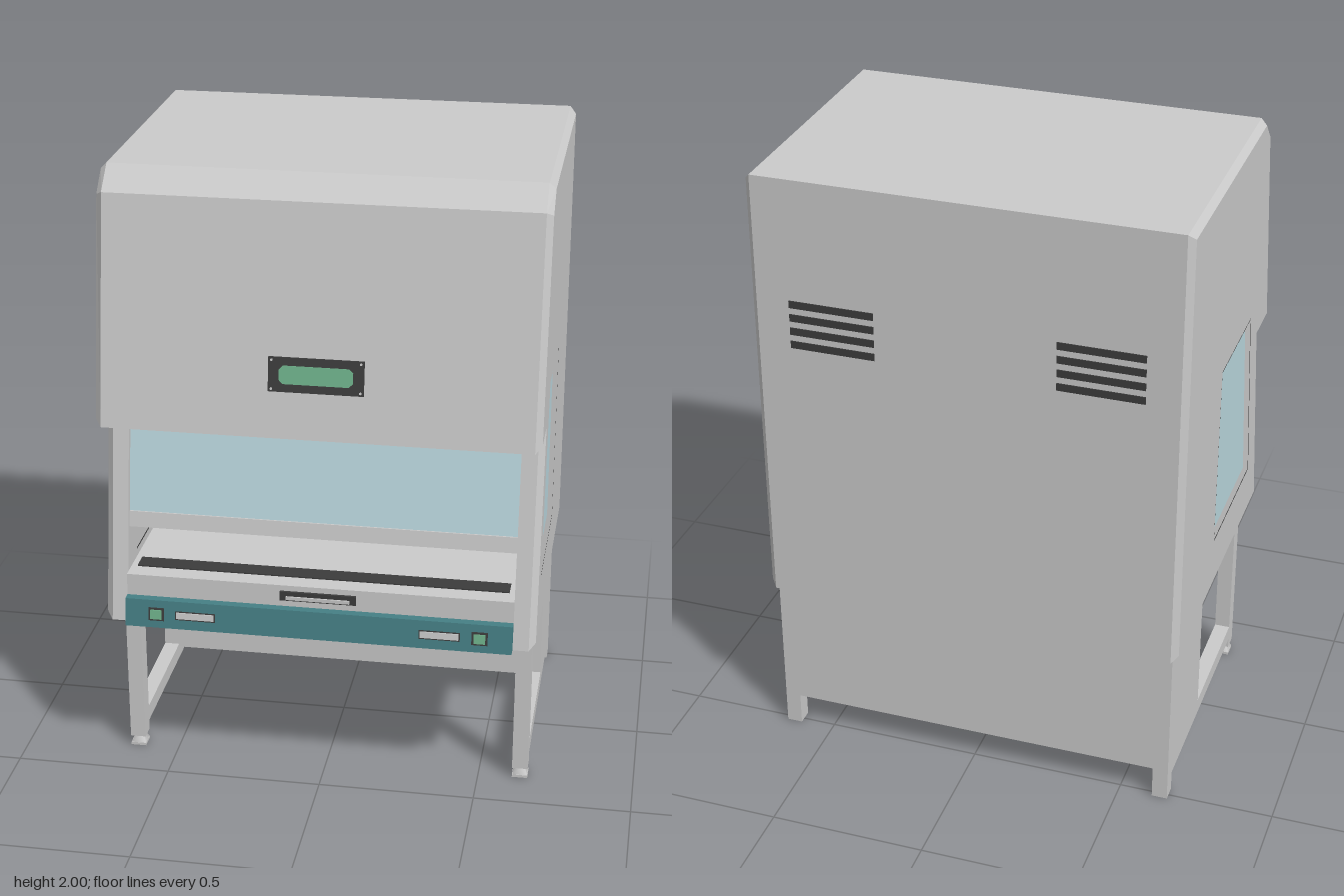
import * as THREE from 'three';

const mat = (name, color, side = THREE.FrontSide) => {
  const m = new THREE.MeshStandardMaterial({ color, side });
  m.name = name;
  return m;
};

export function createModel() {
  const M = {
    body: mat('bodyGrey', 0xcacaca),
    dark: mat('darkGrey', 0x3c3c3c),
    glass: mat('paleBlueGlass', 0xbad7de),
    teal: mat('teal', 0x457f85),
    green: mat('green', 0x6fb28b),
  };
  const model = new THREE.Group();
  model.name = 'safetyCabinet';

  const add = (name, geo, material, parent = model) => {
    const mesh = new THREE.Mesh(geo, material);
    mesh.name = name;
    parent.add(mesh);
    return mesh;
  };
  // box given by its limits
  const box = (name, x0, x1, y0, y1, z0, z1, material, parent) => {
    const g = new THREE.BoxGeometry(x1 - x0, y1 - y0, z1 - z0);
    g.translate((x0 + x1) / 2, (y0 + y1) / 2, (z0 + z1) / 2);
    return add(name, g, material, parent);
  };
  // side profile of [z, y] points pulled along x, with an optional hole
  const toVec = (pts) => pts.map(([z, y]) => new THREE.Vector2(-z, y));
  const slab = (name, pts, x0, x1, material, hole, parent) => {
    const shape = new THREE.Shape(toVec(pts));
    if (hole) shape.holes.push(new THREE.Path(toVec(hole)));
    const g = new THREE.ExtrudeGeometry(shape, { depth: x1 - x0, bevelEnabled: false });
    g.rotateY(Math.PI / 2).translate(x0, 0, 0);
    return add(name, g, material, parent);
  };
  // same, given by distances from the middle on side s
  const sideSlab = (name, s, pts, a, b, material, hole) =>
    slab(name, pts, s > 0 ? a : -b, s > 0 ? b : -a, material, hole);

  // side walls: full profile, inset outer face and a chamfer between them
  const outer = [[-0.545, 0.55], [0.51, 0.55], [0.395, 1.225], [0.545, 1.225],
    [0.425, 1.93], [0.35, 2], [-0.545, 2]];
  const inset = [[-0.523, 0.57], [0.488, 0.57], [0.372, 1.245], [0.522, 1.245],
    [0.405, 1.918], [0.343, 1.98], [-0.523, 1.98]];
  const windowEdge = [[-0.11, 0.73], [0.37, 0.73], [0.27, 1.35], [-0.11, 1.35]];
  const windowPane = [[-0.104, 0.736], [0.363, 0.736], [0.265, 1.344], [-0.104, 1.344]];

  const chamfer = (s) => {
    const pos = [], n = outer.length;
    const at = ([z, y], x) => [s * x, y, z];
    for (let i = 0; i < n; i++) {
      const j = (i + 1) % n;
      const a = at(outer[i], 0.66), b = at(outer[j], 0.66);
      const c = at(inset[j], 0.68), d = at(inset[i], 0.68);
      pos.push(...(s > 0 ? [a, c, b, a, d, c] : [a, b, c, a, c, d]).flat());
    }
    const g = new THREE.BufferGeometry();
    g.setAttribute('position', new THREE.Float32BufferAttribute(pos, 3));
    g.computeVertexNormals();
    return g;
  };
  const chamferMat = mat('bodyGreyEdge', 0xcacaca, THREE.DoubleSide);

  for (const s of [1, -1]) {
    sideSlab('sideWall', s, outer, 0.61, 0.66, M.body, windowEdge);
    sideSlab('sideFace', s, inset, 0.66, 0.68, M.body, windowEdge);
    add('sideChamfer', chamfer(s), chamferMat);
    sideSlab('windowGasket', s, windowEdge, 0.612, 0.679, M.dark, windowPane);
    sideSlab('sideWindow', s, windowPane, 0.655, 0.663, M.glass);
  }

  // hood, back wall and worktop between the side walls
  slab('hood', [[-0.545, 1.225], ...outer.slice(3)], -0.61, 0.61, M.body);
  box('backWall', -0.61, 0.61, 0.55, 1.225, -0.545, -0.5, M.body);
  box('backLiner', -0.61, 0.61, 0.71, 1.225, -0.5, -0.492, M.dark);
  slab('worktop', [[-0.5, 0.55], [0.505, 0.55], [0.5, 0.71], [-0.5, 0.71]], -0.61, 0.61, M.body);
  box('airGrille', -0.59, 0.59, 0.71, 0.714, 0.38, 0.44, M.dark);

  // front sash with its lower rail
  slab('frontGlass', [[0.432, 0.9], [0.377, 1.225], [0.369, 1.225], [0.424, 0.9]], -0.61, 0.61, M.glass);
  slab('sashRail', [[0.445, 0.85], [0.437, 0.9], [0.415, 0.9], [0.423, 0.85]], -0.61, 0.61, M.body);

  // tray pull on the sill
  box('trayPull', -0.12, 0.12, 0.662, 0.692, 0.495, 0.509, M.dark);
  box('trayPullGrip', -0.1, 0.1, 0.667, 0.678, 0.505, 0.514, M.body);

  // things standing on the worktop
  box('tealContainer', -0.29, -0.18, 0.71, 0.8, -0.05, 0.06, M.teal);
  box('lowInstrument', 0.04, 0.18, 0.71, 0.77, -0.05, 0.08, M.body);
  add('bottle', new THREE.CylinderGeometry(0.04, 0.04, 0.18, 8).translate(0.24, 0.8, 0), M.body);

  // control panel with buttons and grips
  slab('controlPanel', [[0.5, 0.55], [0.542, 0.55], [0.53, 0.64], [0.5, 0.64]], -0.61, 0.61, M.teal);
  for (const s of [1, -1]) {
    const controls = new THREE.Group();
    controls.name = 'panelControls';
    controls.position.set(s * 0.51, 0.595, 0.536);
    controls.rotation.x = -0.13;
    model.add(controls);
    box('buttonFrame', -0.025, 0.025, -0.021, 0.021, -0.004, 0.004, M.dark, controls);
    box('button', -0.018, 0.018, -0.015, 0.015, 0, 0.009, M.green, controls);
    const gx = -s * 0.125;
    box('gripPlate', gx - 0.064, gx + 0.064, -0.014, 0.014, -0.004, 0.003, M.dark, controls);
    box('grip', gx - 0.06, gx + 0.06, -0.009, 0.011, 0, 0.008, M.body, controls);
  }

  // display on the sloping hood front
  const display = new THREE.Group();
  display.name = 'display';
  display.position.set(0, 1.42, 0.512);
  display.rotation.x = -0.169;
  model.add(display);
  box('displayFrame', -0.145, 0.145, -0.053, 0.053, -0.008, 0.006, M.dark, display);
  const w = 0.112, h = 0.028, k = 0.012;
  const screen = new THREE.Shape([[-w, -h + k], [-w + k, -h], [w - k, -h], [w, -h + k],
    [w, h - k], [w - k, h], [-w + k, h], [-w, h - k]].map((p) => new THREE.Vector2(...p)));
  add('displayScreen', new THREE.ExtrudeGeometry(screen, { depth: 0.004, bevelEnabled: false })
    .translate(0, 0, 0.005), M.green, display);
  for (const sx of [1, -1]) for (const sy of [1, -1]) {
    add('displayScrew', new THREE.CylinderGeometry(0.004, 0.004, 0.004, 8).rotateX(Math.PI / 2)
      .translate(sx * 0.135, sy * 0.044, 0.007), M.body, display);
  }

  // lower cabinet and stand
  box('lowerCabinet', -0.66, 0.66, 0.11, 0.55, -0.52, -0.14, M.body);
  for (const s of [1, -1]) {
    const a = Math.min(s * 0.61, s * 0.66), b = Math.max(s * 0.61, s * 0.66);
    box('frontLeg', a, b, 0.035, 0.55, 0.3, 0.355, M.body);
    box('rearLeg', a, b, 0, 0.11, -0.52, -0.468, M.body);
    box('sideRail', a, b, 0.068, 0.12, -0.468, 0.3, M.body);
    const foot = new THREE.CylinderGeometry(0.018, 0.034, 0.03, 4).rotateY(Math.PI / 4);
    add('footCone', foot.translate(s * 0.635, 0.023, 0.328), M.body);
    box('footPad', a, b, 0, 0.009, 0.303, 0.353, M.body);
  }

  // vent slots on the lower cabinet front and the upper back
  const frontSlots = [[0.45, 0.03], [0.397, 0.018], [0.354, 0.018], [0.308, 0.018], [0.258, 0.036]];
  const backSlots = [1.595, 1.55, 1.505, 1.46];
  for (const s of [1, -1]) {
    for (const [y, t] of frontSlots)
      box('frontVentSlot', s * 0.45 - 0.147, s * 0.45 + 0.147, y - t / 2, y + t / 2, -0.142, -0.136, M.dark);
    for (const y of backSlots)
      box('backVentSlot', s * 0.42 - 0.135, s * 0.42 + 0.135, y - 0.012, y + 0.012, -0.548, -0.542, M.dark);
  }
  return model;
}
